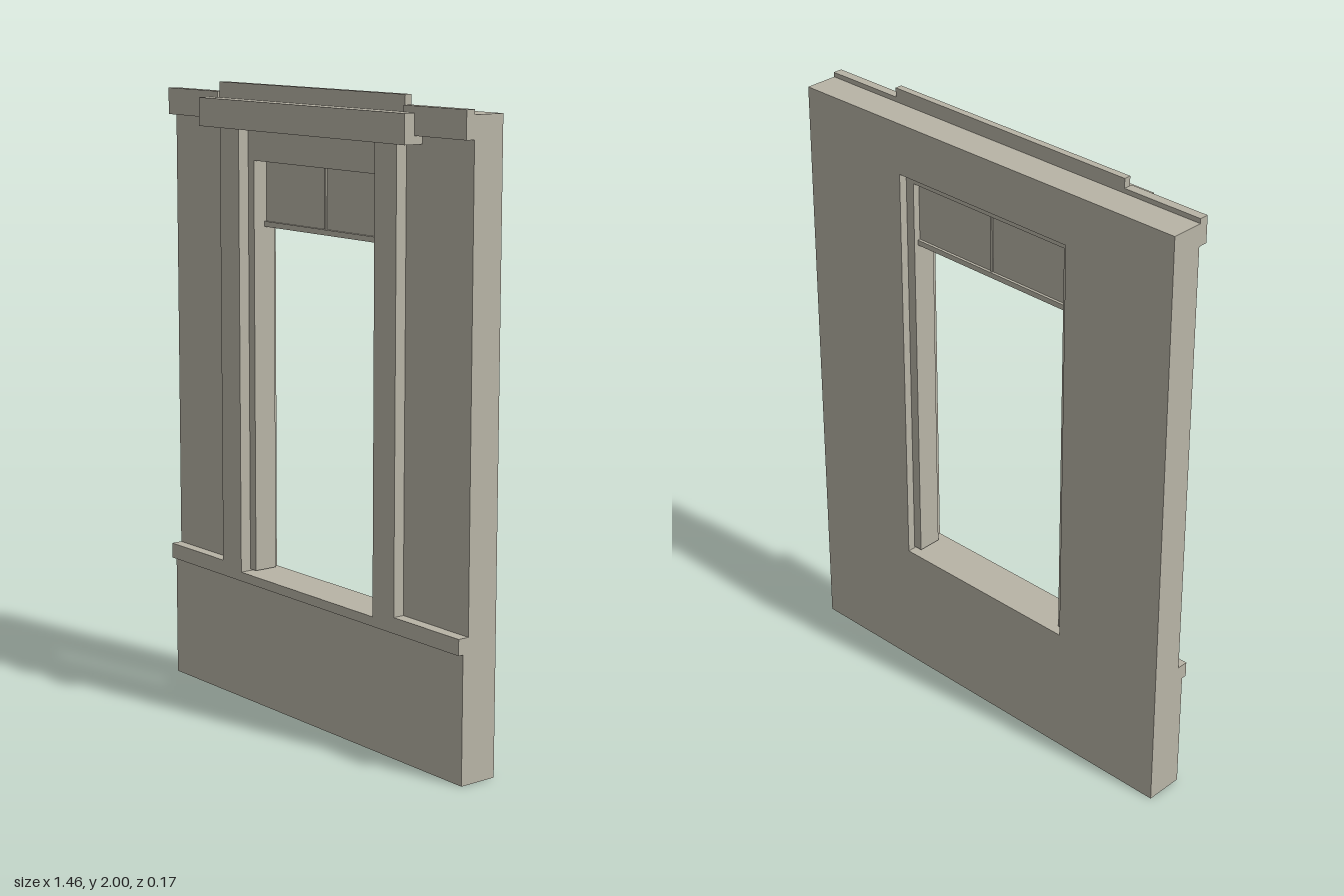
import * as THREE from 'three';

export function createModel() {
  const model = new THREE.Group();
  model.name = 'windowWallPanel';
  const stone = new THREE.MeshStandardMaterial({ color: 0xb8b4a6 });
  stone.name = 'warm grey stone';

  // box given by its limits on each axis
  function box(name, x0, x1, y0, y1, z0, z1) {
    const mesh = new THREE.Mesh(new THREE.BoxGeometry(x1 - x0, y1 - y0, z1 - z0), stone);
    mesh.position.set((x0 + x1) / 2, (y0 + y1) / 2, (z0 + z1) / 2);
    mesh.name = name;
    model.add(mesh);
  }

  // rectangular plate with a rectangular hole, extruded from z0 to z1
  function ring(name, outer, inner, z0, z1) {
    const trace = (p, [x, y0, y1]) =>
      p.moveTo(-x, y0).lineTo(x, y0).lineTo(x, y1).lineTo(-x, y1).closePath();
    const shape = trace(new THREE.Shape(), outer);
    shape.holes.push(trace(new THREE.Path(), inner));
    const geo = new THREE.ExtrudeGeometry(shape, { depth: z1 - z0, bevelEnabled: false });
    const mesh = new THREE.Mesh(geo, stone);
    mesh.position.z = z0;
    mesh.name = name;
    model.add(mesh);
  }

  const W = 0.728, BACK = -0.087, FACE = 0.02;

  // wall slab with the window opening
  ring('wall', [W, 0, 1.955], [0.335, 0.43, 1.79], BACK, FACE);

  // plinth and sill course across the bottom
  box('plinth', -W, W, 0, 0.4, FACE, 0.04);
  box('sillCourse', -W, W, 0.4, 0.43, FACE, 0.057);

  // parts mirrored left and right
  for (const s of [-1, 1]) {
    const side = (name, a, b, ...rest) => box(name, Math.min(s * a, s * b), Math.max(s * a, s * b), ...rest);
    side('sillLip', 0.435, W, 0.43, 0.45, FACE, 0.057);
    side('pilaster', 0.335, 0.435, 0.43, 1.87, FACE, 0.057);
    side('cornice', 0.455, W, 1.885, 1.97, FACE, 0.05);
    side('windowJamb', 0.305, 0.335, 0.435, 1.79, -0.06, FACE);
  }

  // head of the window frame
  box('windowHead', -0.305, 0.305, 1.76, 1.79, -0.06, FACE);

  // lintel and the crest above it
  box('lintel', -0.505, 0.505, 1.86, 1.95, FACE, 0.087);
  box('crest', -0.455, 0.455, 1.95, 2.0, FACE, 0.043);

  // raised upper sash: two panes, bottom rail and thin mullion
  box('sashPanes', -0.305, 0.305, 1.56, 1.76, -0.037, -0.029);
  box('sashRail', -0.305, 0.305, 1.55, 1.567, -0.046, -0.02);
  box('sashMullion', -0.004, 0.004, 1.567, 1.76, -0.041, -0.025);

  return model;
}
